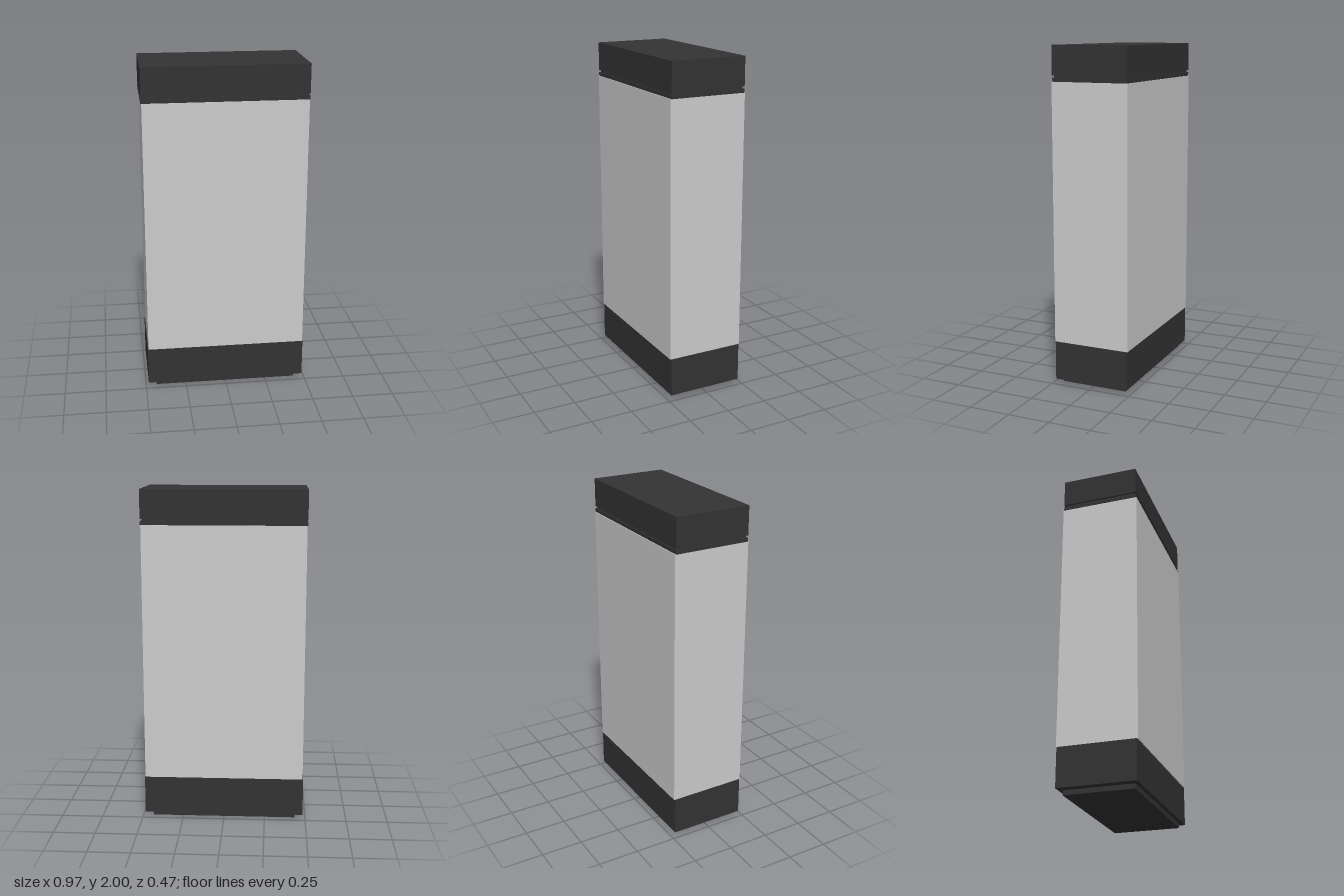
import * as THREE from 'three';

export function createModel() {
  const group = new THREE.Group();
  const dark = new THREE.MeshStandardMaterial({ color: 0x333333 });
  const grey = new THREE.MeshStandardMaterial({ color: 0xcccccc });

  // Box centred on x and z, spanning y0 to y1
  function slab(name, width, depth, y0, y1, material) {
    const mesh = new THREE.Mesh(new THREE.BoxGeometry(width, y1 - y0, depth), material);
    mesh.name = name;
    mesh.position.y = (y0 + y1) / 2;
    group.add(mesh);
  }

  // Recessed foot and base
  slab('foot', 0.872, 0.41, 0, 0.03, dark);
  slab('base', 0.968, 0.46, 0.028, 0.26, dark);

  // Tall panelled body
  slab('body', 0.96, 0.47, 0.26, 1.795, grey);

  // Collar, shadow groove and top cap
  slab('collar', 0.968, 0.46, 1.795, 1.817, dark);
  slab('groove', 0.95, 0.444, 1.817, 1.83, dark);
  slab('cap', 0.968, 0.46, 1.83, 2, dark);

  return group;
}
